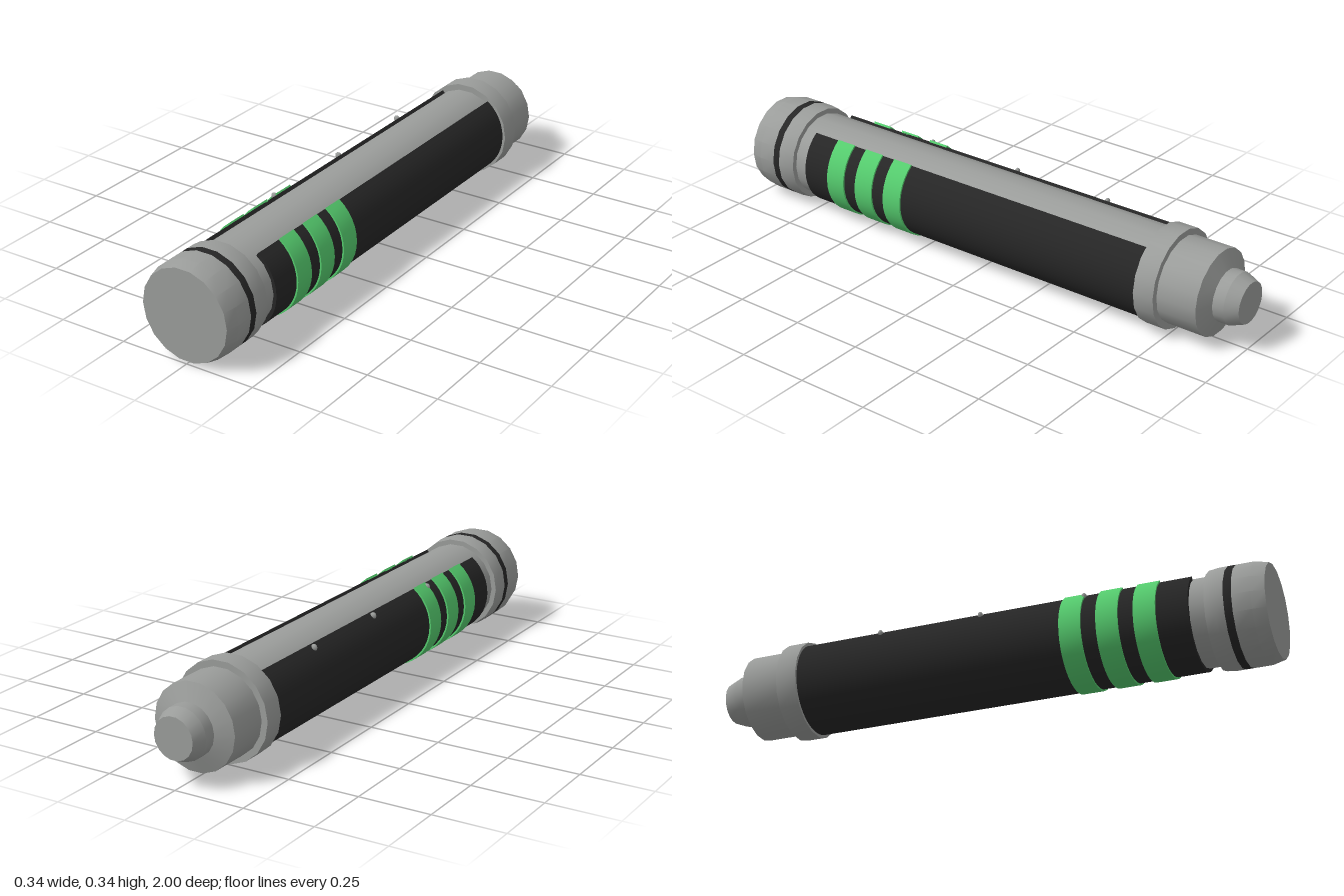
import * as THREE from 'three';
import { toCreasedNormals } from 'three/addons/utils/BufferGeometryUtils.js';

const AXIS_Y = 0.17;
const SIDES = 18;
const rad = THREE.MathUtils.degToRad;

function material(name, color) {
  const m = new THREE.MeshStandardMaterial({ color });
  m.name = name;
  return m;
}

export function createModel() {
  const grey = material('metalGrey', 0x9a9c9a);
  const black = material('gripBlack', 0x262626);
  const green = material('stripeGreen', 0x55cc6e);

  const group = new THREE.Group();
  group.name = 'baton';

  function add(name, geometry, mat) {
    const mesh = new THREE.Mesh(geometry, mat);
    mesh.name = name;
    mesh.position.y += AXIS_Y;
    group.add(mesh);
    return mesh;
  }

  // Turned part along z; profile of [z, radius] from back to front
  function turned(name, profile, mat) {
    const points = profile.map(([z, r]) => new THREE.Vector2(r, z));
    const g = new THREE.LatheGeometry(points, SIDES, rad(10));
    g.rotateX(Math.PI / 2);
    add(name, toCreasedNormals(g, rad(21)), mat);
  }

  // Curved shell that wraps the tube and leaves a gap along the top
  function wrap(name, inner, outer, z0, z1, mat) {
    const a = rad(126), b = rad(414);
    const shape = new THREE.Shape();
    shape.absarc(0, 0, outer, a, b, false);
    shape.absarc(0, 0, inner, b, a, true);
    const g = new THREE.ExtrudeGeometry(shape, {
      depth: z1 - z0, bevelEnabled: false, curveSegments: 16,
    });
    g.translate(0, 0, z0);
    add(name, toCreasedNormals(g, rad(30)), mat);
  }

  // Tail: nozzle, shoulder and collar
  turned('nozzle', [[-1, 0], [-1, 0.072], [-0.955, 0.09], [-0.914, 0.09]], grey);
  turned('shoulder', [[-0.914, 0.09], [-0.89, 0.15], [-0.745, 0.15]], grey);
  turned('collar', [[-0.745, 0.15], [-0.745, 0.172], [-0.67, 0.172], [-0.67, 0.15]], grey);

  // Main tube
  turned('tube', [[-0.67, 0.15], [0.8, 0.15]], grey);

  // Front cap with its dark ring
  turned('capRear', [[0.8, 0.15], [0.8, 0.168], [0.835, 0.172], [0.865, 0.172]], grey);
  turned('capRing', [[0.865, 0.172], [0.892, 0.172]], black);
  turned('capFront', [[0.892, 0.172], [0.955, 0.172], [1, 0.161], [1, 0]], grey);

  // Grip sleeve and raised stripes
  wrap('gripSleeve', 0.145, 0.161, -0.67, 0.745, black);
  for (const z of [0.302, 0.431, 0.56]) {
    wrap('gripStripe', 0.159, 0.167, z, z + 0.076, green);
  }

  // Small studs along the sleeve edge
  for (const z of [-0.375, 0, 0.375]) {
    const stud = add('stud', new THREE.SphereGeometry(0.012, 8, 6), grey);
    stud.position.x = -0.109;
    stud.position.y += 0.121;
    stud.position.z = z;
    stud.scale.z = 0.7;
  }

  return group;
}
